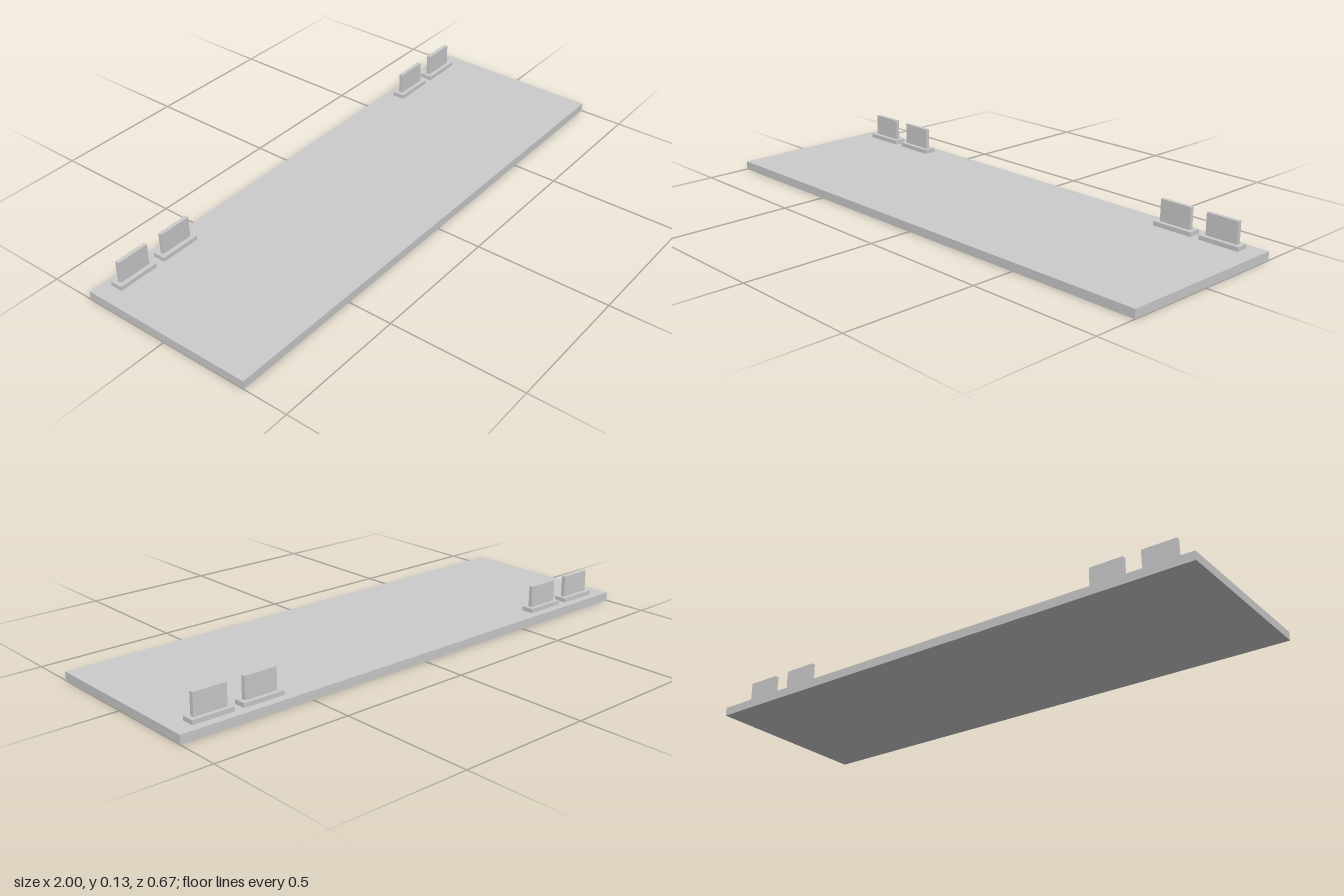
import * as THREE from 'three';

const material = new THREE.MeshStandardMaterial({ color: 0xcccccc, flatShading: true });

// Box standing on height y, centred on x and z
function slab(name, w, h, d, x, y, z) {
  const mesh = new THREE.Mesh(new THREE.BoxGeometry(w, h, d), material);
  mesh.name = name;
  mesh.position.set(x, y + h / 2, z);
  return mesh;
}

export function createModel() {
  const model = new THREE.Group();
  model.name = 'boardWithUprights';

  // Flat board
  const boardTop = 0.032;
  model.add(slab('board', 2, boardTop, 0.667, 0, 0, 0));

  // Two pairs of uprights along the back edge, mirrored left and right
  const footHeight = 0.016;
  for (const side of [-1, 1]) {
    for (const [position, offset] of [['outer', 0.857], ['inner', 0.667]]) {
      const upright = new THREE.Group();
      upright.name = position + (side > 0 ? 'Left' : 'Right') + 'Upright';
      upright.position.set(side * offset, boardTop, -0.278);
      upright.add(
        slab('foot', 0.156, footHeight, 0.047, 0, 0, 0),
        slab('panel', 0.125, 0.08, 0.015, 0, footHeight, 0)
      );
      model.add(upright);
    }
  }
  return model;
}
